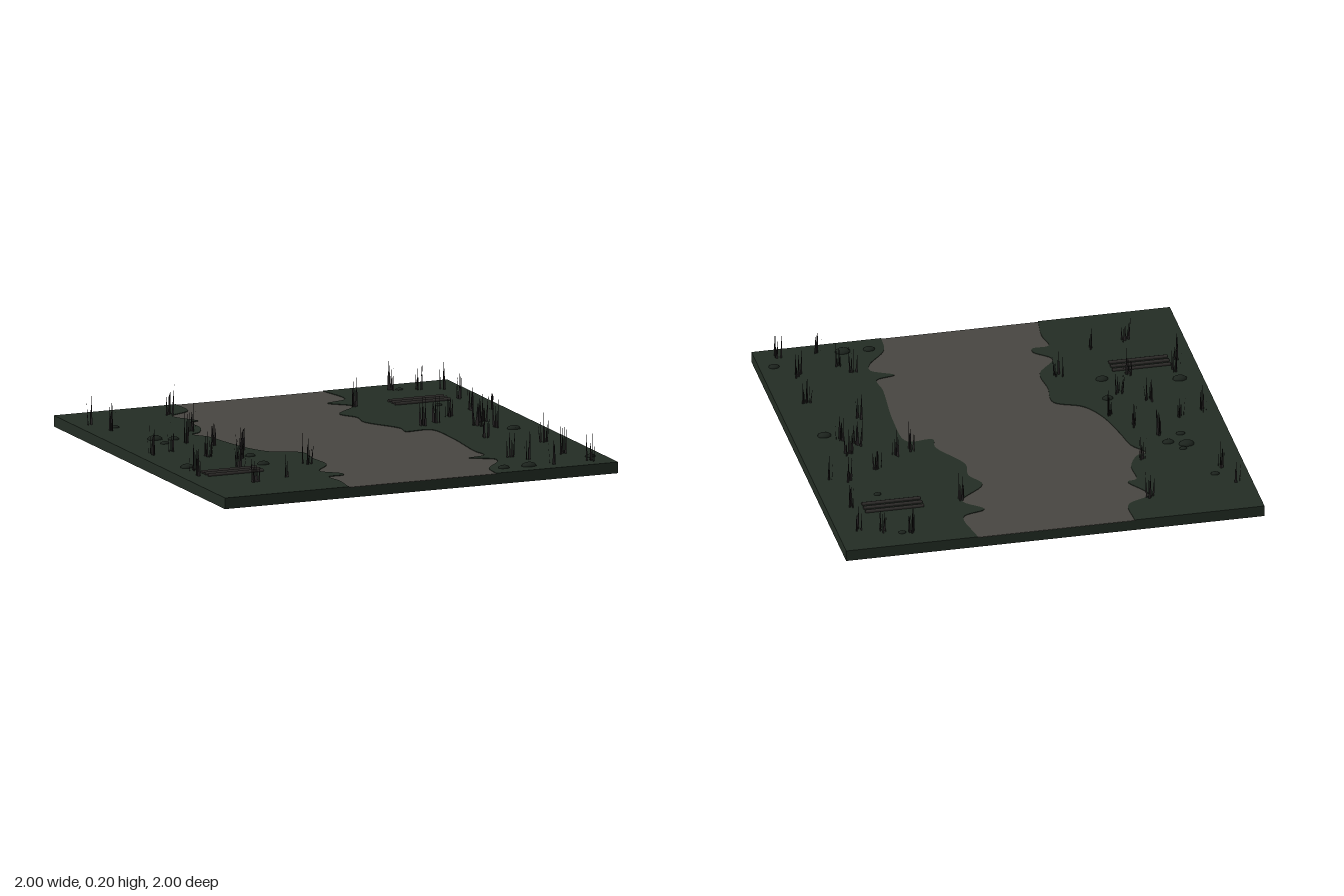
import * as THREE from 'three';

const mat = (name, color, side = THREE.FrontSide) => {
  const m = new THREE.MeshStandardMaterial({ color, side });
  m.name = name;
  return m;
};

// Small seeded random generator
function seeded(seed) {
  return () => {
    seed = (seed * 16807) % 2147483647;
    return seed / 2147483647;
  };
}

// Ragged edges of the path as x, z pairs from back to front
const LEFT_EDGE = [
  [-0.38, -1], [-0.385, -0.845], [-0.5, -0.77], [-0.43, -0.625], [-0.475, -0.61], [-0.48, -0.48],
  [-0.53, -0.385], [-0.575, -0.36], [-0.525, -0.28], [-0.5, -0.15], [-0.455, 0.03], [-0.39, 0.14],
  [-0.265, 0.21], [-0.27, 0.35], [-0.265, 0.5], [-0.355, 0.625], [-0.28, 0.71], [-0.285, 0.745],
  [-0.365, 0.755], [-0.355, 0.86], [-0.37, 1],
];
const RIGHT_EDGE = [
  [0.37, -1], [0.39, -0.79], [0.28, -0.74], [0.365, -0.64], [0.235, -0.5], [0.28, -0.4],
  [0.27, -0.29], [0.37, -0.1], [0.365, -0.02], [0.485, -0.015], [0.505, 0.19], [0.485, 0.5],
  [0.49, 0.605], [0.4, 0.635], [0.5, 0.7], [0.49, 0.76], [0.395, 0.88], [0.38, 1],
];

// Grass clumps as x, z
const CLUMPS = [
  [-0.89, -0.58], [-0.92, -0.74], [-0.92, -0.02], [-0.71, 0.13], [-0.72, 0.73], [-0.89, 0.39],
  [-0.81, -0.05], [-0.66, 0.4], [-0.5, 0.04], [-0.55, 0.69], [-0.92, 0.5], [-0.5, -0.8],
  [-0.68, -0.2], [-0.55, -0.42], [-0.57, -0.1], [-0.58, 0.23], [-0.35, 0.46],
  [0.36, -0.62], [0.66, -0.88], [0.79, -0.85], [0.9, -0.8], [0.83, -0.33], [0.78, -0.08],
  [0.79, 0.07], [0.565, -0.13], [0.49, -0.1], [0.58, 0.7], [0.84, 0.72], [0.71, 0.92],
  [0.9, 0.92], [0.64, 0.77], [0.86, 0.46], [0.72, 0.0], [0.68, -0.25], [0.92, -0.3],
  [0.88, -0.58], [0.65, 0.25],
];

// Stones as x, z, radius
const STONES = [
  [-0.845, -0.64, 0.021], [-0.78, -0.325, 0.037], [-0.755, -0.365, 0.018], [-0.7, -0.29, 0.028],
  [-0.775, -0.22, 0.022], [-0.89, 0.305, 0.034], [-0.52, 0.19, 0.026], [-0.535, 0.38, 0.03],
  [0.705, -0.88, 0.019], [0.735, -0.49, 0.018], [0.85, 0.125, 0.033], [0.93, 0.835, 0.026],
  [0.46, 0.905, 0.028], [0.585, 0.91, 0.037],
];

// Grass bank between the outer side of the tile and one edge of the path
function bankGeometry(edge, side) {
  const curve = new THREE.CatmullRomCurve3(edge.map(([x, z]) => new THREE.Vector3(x, z, 0)));
  const points = curve.getPoints(110).map(
    (p) => new THREE.Vector2(p.x, THREE.MathUtils.clamp(p.y, -1, 1)));
  points.push(new THREE.Vector2(side, 1), new THREE.Vector2(side, -1));
  const geometry = new THREE.ExtrudeGeometry(new THREE.Shape(points), { depth: 0.006, bevelEnabled: false });
  return geometry.rotateX(Math.PI / 2).translate(0, 0.053, 0);
}

// A clump of thin, leaning, pointed blades
function clumpGeometry(random) {
  const positions = [];
  const count = 6 + Math.floor(random() * 3);
  for (let i = 0; i < count; i++) {
    const angle = random() * Math.PI * 2;
    const spread = random() * 0.024;
    const x = Math.cos(angle) * spread;
    const z = Math.sin(angle) * spread;
    const turn = random() * Math.PI;
    const wx = Math.cos(turn) * 0.005;
    const wz = Math.sin(turn) * 0.005;
    const height = 0.07 + random() * 0.085;
    const lean = 0.1 + random() * 0.5;
    positions.push(
      x - wx, 0, z - wz,
      x + wx, 0, z + wz,
      x * (1 + lean), height, z * (1 + lean));
  }
  const geometry = new THREE.BufferGeometry();
  geometry.setAttribute('position', new THREE.Float32BufferAttribute(positions, 3));
  geometry.computeVertexNormals();
  return geometry;
}

export function createModel() {
  const model = new THREE.Group();
  model.name = 'pathTile';
  const ground = mat('dark grass', 0x232d24);
  const pathMat = mat('grey path', 0x484641);
  const stoneMat = mat('dark stone', 0x1c231d);
  const woodMat = mat('dark wood', 0x2e2c2a);
  const bladeMat = mat('dry grass', 0x242122, THREE.DoubleSide);

  const add = (parent, name, geometry, material, x = 0, y = 0, z = 0) => {
    const mesh = new THREE.Mesh(geometry, material);
    mesh.name = name;
    mesh.position.set(x, y, z);
    parent.add(mesh);
    return mesh;
  };

  // Ground slab, path plate and the two raised banks
  add(model, 'groundSlab', new THREE.BoxGeometry(2, 0.048, 2), ground, 0, 0.024, 0);
  add(model, 'path', new THREE.BoxGeometry(1.2, 0.004, 1.998), pathMat, 0, 0.048, 0);
  add(model, 'leftBank', bankGeometry(RIGHT_EDGE, 1), ground);
  add(model, 'rightBank', bankGeometry(LEFT_EDGE, -1), ground);

  // Low rounded stones
  const stones = new THREE.Group();
  stones.name = 'stones';
  model.add(stones);
  const stoneGeometry = new THREE.SphereGeometry(1, 12, 8);
  for (const [x, z, r] of STONES) {
    add(stones, 'stone', stoneGeometry, stoneMat, x, 0.053, z).scale.set(r, r * 0.5, r * 0.75);
  }

  // Two sets of three fallen poles
  const poleGeometry = new THREE.CylinderGeometry(0.009, 0.009, 0.28, 8).rotateZ(Math.PI / 2);
  for (const [x, z] of [[0.69, -0.613], [-0.74, 0.487]]) {
    const poles = new THREE.Group();
    poles.name = 'fallenPoles';
    poles.position.set(x, 0.057, z);
    model.add(poles);
    for (let i = -1; i <= 1; i++) add(poles, 'pole', poleGeometry, woodMat, 0, 0, i * 0.038);
  }

  // Grass clumps
  const grass = new THREE.Group();
  grass.name = 'grassClumps';
  model.add(grass);
  const random = seeded(4217);
  for (const [x, z] of CLUMPS) {
    add(grass, 'grassClump', clumpGeometry(random), bladeMat, x, 0.05, z);
  }
  return model;
}
